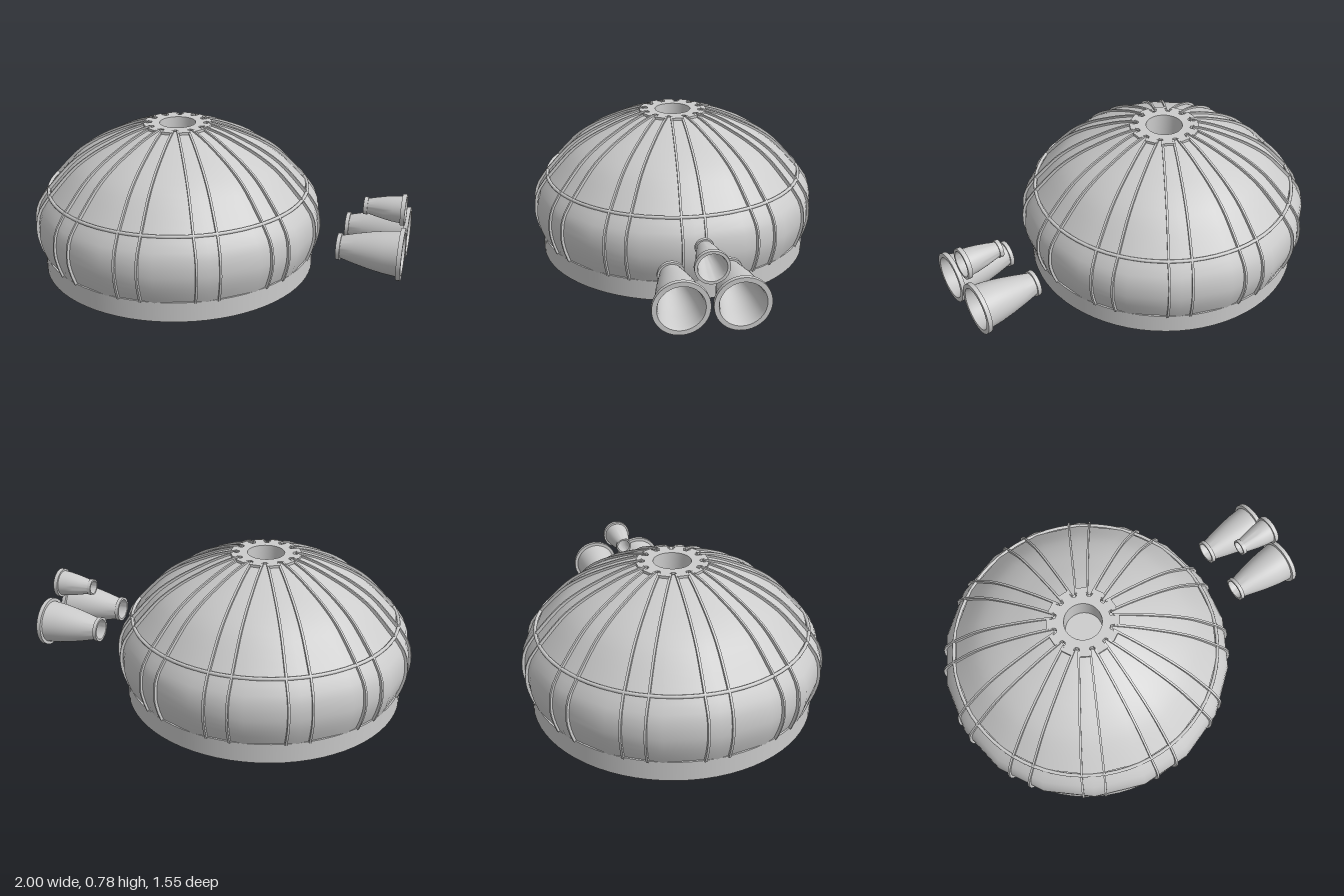
import * as THREE from 'three';
import { toCreasedNormals } from 'three/addons/utils/BufferGeometryUtils.js';

const CX = -0.23; // dome axis
const grey = new THREE.MeshStandardMaterial({ color: 0xcccccc });
const greyDouble = new THREE.MeshStandardMaterial({ color: 0xcccccc, side: THREE.DoubleSide });

const points = (list) => list.map(([r, y]) => new THREE.Vector2(r, y));

function add(parent, name, geometry, material = grey) {
  const mesh = new THREE.Mesh(geometry, material);
  mesh.name = name;
  parent.add(mesh);
  return mesh;
}

// Smooth curve through radius/height pairs
const smooth = (list, n) => new THREE.SplineCurve(points(list)).getPoints(n);

const lowerProfile = smooth([[0.733, 0.1], [0.757, 0.17], [0.77, 0.25], [0.755, 0.35], [0.698, 0.436]], 10);
const upperProfile = smooth([[0.692, 0.436], [0.57, 0.567], [0.46, 0.645], [0.35, 0.7], [0.25, 0.742], [0.15, 0.772]], 16);

// Thin raised strip following a profile; offset(r) is its sideways distance from the spoke
function ribGeometry(profile, offset, side, proud) {
  const width = 0.011;
  const normalAt = (i) => {
    const a = profile[Math.max(i - 1, 0)];
    const b = profile[Math.min(i + 1, profile.length - 1)];
    return new THREE.Vector2(b.y - a.y, a.x - b.x).normalize();
  };
  const outer = profile.map((p, i) => p.clone().addScaledVector(normalAt(i), proud));
  const inner = profile.map((p, i) => p.clone().addScaledVector(normalAt(i), -0.02)).reverse();
  const geo = new THREE.ExtrudeGeometry(new THREE.Shape([...outer, ...inner]), { depth: width, bevelEnabled: false });
  const pos = geo.attributes.position;
  for (let i = 0; i < pos.count; i++) {
    pos.setZ(i, pos.getZ(i) - width / 2 + side * offset(pos.getX(i)));
  }
  geo.computeVertexNormals();
  return geo;
}

// Toothed flat collar around the opening at the top
function collarGeometry() {
  const shape = new THREE.Shape();
  for (let k = 0; k < 12; k++) {
    const a = (k * Math.PI) / 6;
    const corners = [[0.137, -0.2], [0.145, -0.17], [0.182, -0.16], [0.182, 0.16], [0.145, 0.17], [0.137, 0.2]];
    corners.forEach(([r, d], i) => {
      const x = r * Math.cos(a + d), y = r * Math.sin(a + d);
      if (k === 0 && i === 0) shape.moveTo(x, y);
      else shape.lineTo(x, y);
    });
  }
  shape.closePath();
  shape.holes.push(new THREE.Path().absarc(0, 0, 0.095, 0, Math.PI * 2, true));
  const geo = new THREE.ExtrudeGeometry(shape, { depth: 0.035, bevelEnabled: false, curveSegments: 32 });
  return geo.rotateX(-Math.PI / 2).translate(0, 0.741, 0);
}

// Open bell nozzle along +x: neck collar, curved flare, mouth flange and hollow inside
function nozzle(name, length, neck, mouth, bore, wall) {
  const outerFlare = [0, 0.25, 0.5, 0.75, 1].map((t) => [
    neck * 0.86 + (mouth * 0.87 - neck * 0.86) * Math.sin((t * Math.PI) / 2.4) / Math.sin(Math.PI / 2.4),
    0.02 + (length - 0.042) * t,
  ]);
  const innerFlare = outerFlare.map(([r, y]) => [Math.max(r - wall, bore), y]).reverse();
  const profile = [
    [bore, 0], [neck, 0], [neck, 0.02], ...outerFlare,
    [mouth, length - 0.022], [mouth, length], [mouth * 0.83, length],
    ...innerFlare, [bore, 0],
  ];
  const geo = toCreasedNormals(new THREE.LatheGeometry(points(profile), 40), 0.6);
  const mesh = new THREE.Mesh(geo.rotateZ(-Math.PI / 2), greyDouble);
  mesh.name = name;
  return mesh;
}

export function createModel() {
  const model = new THREE.Group();
  model.name = 'domedPod';

  const dome = new THREE.Group();
  dome.name = 'dome';
  dome.position.x = CX;
  model.add(dome);

  // Base drum and shell, the shell with 18 sides
  add(dome, 'base', new THREE.CylinderGeometry(0.733, 0.733, 0.105, 72).translate(0, 0.0525, 0));
  add(dome, 'lowerShell', new THREE.LatheGeometry(lowerProfile, 18, Math.PI / 2), greyDouble);
  add(dome, 'upperShell', new THREE.LatheGeometry(upperProfile, 18, Math.PI / 2), greyDouble);
  add(dome, 'seamRing', new THREE.TorusGeometry(0.694, 0.009, 8, 72).rotateX(Math.PI / 2).translate(0, 0.436, 0));

  // Twelve pairs of ribs
  const ribs = new THREE.Group();
  ribs.name = 'ribs';
  dome.add(ribs);
  for (const side of [-1, 1]) {
    const lower = ribGeometry(lowerProfile, () => 0.058, side, 0.003);
    const upper = ribGeometry(upperProfile, (r) => 0.02 + 0.053 * r, side, 0.008);
    for (let k = 0; k < 12; k++) {
      add(ribs, 'lowerRib', lower).rotation.y = (k * Math.PI) / 6;
      add(ribs, 'upperRib', upper).rotation.y = (k * Math.PI) / 6;
    }
  }

  // Collar and the pit inside it
  add(dome, 'topCollar', collarGeometry());
  const pit = points([[0, 0.65], [0.095, 0.65], [0.095, 0.775]]);
  add(dome, 'topPit', toCreasedNormals(new THREE.LatheGeometry(pit, 32), 0.6), greyDouble);

  // Nozzle cluster on the model's left
  const nozzles = new THREE.Group();
  nozzles.name = 'nozzles';
  model.add(nozzles);
  for (const z of [-0.138, 0.138]) {
    const large = nozzle('largeNozzle', 0.33, 0.068, 0.132, 0.055, 0.012);
    large.position.set(0.67, 0.245, z);
    nozzles.add(large);
  }
  const small = nozzle('smallNozzle', 0.21, 0.045, 0.08, 0.036, 0.009);
  small.position.set(0.775, 0.427, 0);
  nozzles.add(small);

  return model;
}
